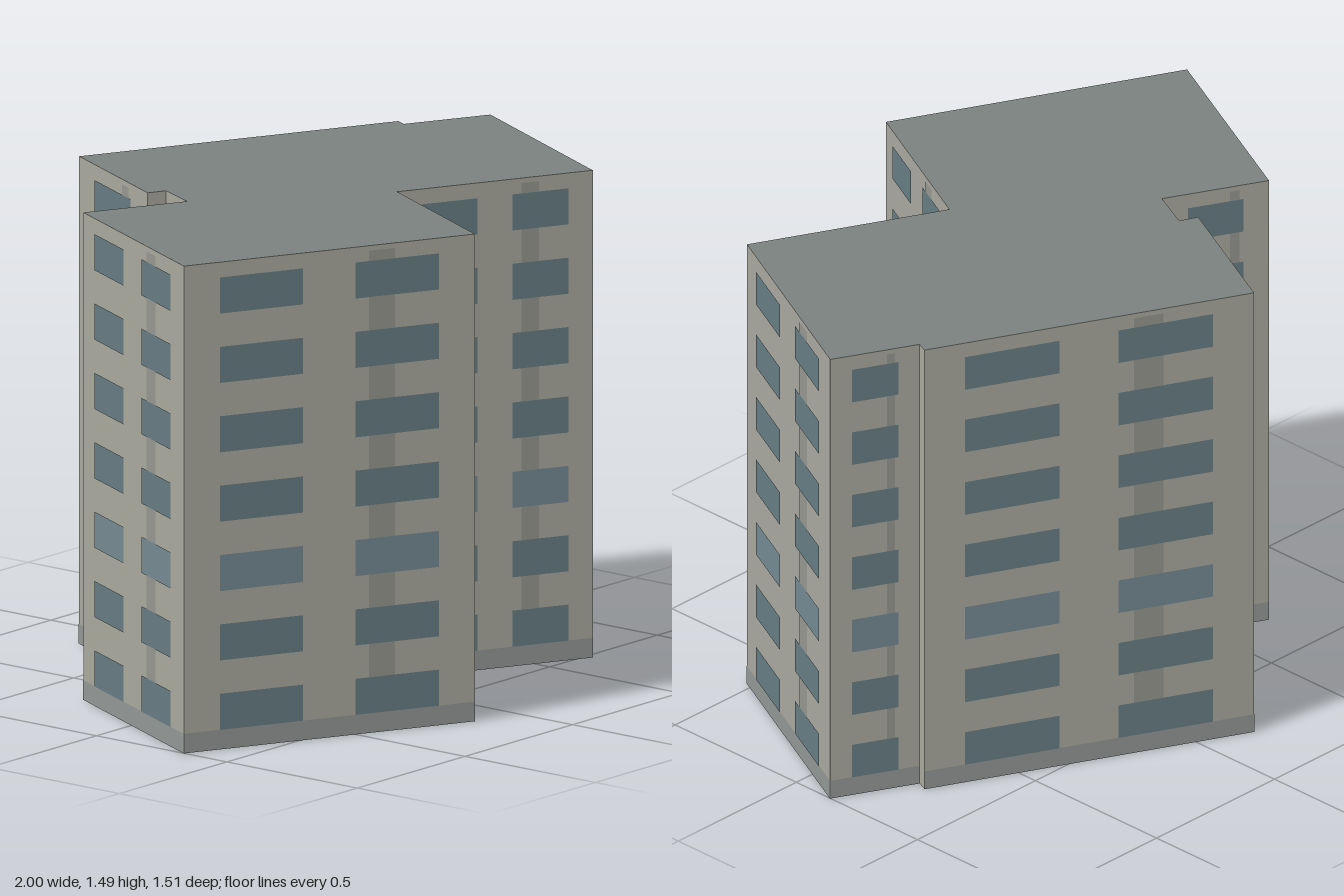
import * as THREE from 'three';

const HEIGHT = 1.485, FLOORS = 7, PITCH = 0.2115;

// Footprint corners (x, z); each wall runs to the next corner, seen left to right from outside.
// The third value is the number of window columns on that wall.
const FOOTPRINT = [
  [-1, 0.335, 2], [-0.15, 0.75, 2], [0.1, 0.245, 2], [0.67, 0.525, 2],
  [1, -0.14, 1], [0.75, -0.265, 0], [0.765, -0.3, 2], [-0.165, -0.755, 1],
  [-0.38, -0.315, 0], [-0.325, -0.29, 1], [-0.385, -0.16, 1], [-0.685, -0.31, 2],
];

// Window spans as fractions of the wall length
const COLUMNS = { 0: [], 1: [[0.24, 0.76]], 2: [[0.122, 0.408], [0.588, 0.874]] };

const paint = (color, side = THREE.FrontSide) =>
  new THREE.MeshStandardMaterial({ color, side });

export function createModel() {
  const model = new THREE.Group();
  model.name = 'apartmentBlock';

  const wallPaint = paint(0xa8a89e, THREE.DoubleSide);
  const roofPaint = paint(0x7a817e, THREE.DoubleSide);
  const plinthPaint = paint(0x929694);
  const stripPaint = paint(0x95968f);
  const glass = paint(0x667c83);
  const paleGlass = paint(0x748991);

  // Flat roof over the whole footprint; the underside stays open
  const outline = new THREE.Shape(FOOTPRINT.map(([x, z]) => new THREE.Vector2(x, -z)));
  const roof = new THREE.Mesh(new THREE.ShapeGeometry(outline).rotateX(-Math.PI / 2), roofPaint);
  roof.position.y = HEIGHT;
  roof.name = 'roof';
  model.add(roof);

  FOOTPRINT.forEach(([x, z, columns], i) => {
    const [nx, nz] = FOOTPRINT[(i + 1) % FOOTPRINT.length];
    const length = Math.hypot(nx - x, nz - z);

    // Wall group: local x runs along the wall, local z points outwards
    const wall = new THREE.Group();
    wall.name = 'wall' + (i + 1);
    wall.position.set(x, 0, z);
    wall.rotation.y = Math.atan2(z - nz, nx - x);
    model.add(wall);

    const panel = (name, material, from, to, bottom, top, offset) => {
      const mesh = new THREE.Mesh(
        new THREE.PlaneGeometry((to - from) * length, top - bottom), material);
      mesh.position.set((from + to) / 2 * length, (bottom + top) / 2, offset);
      mesh.name = name;
      wall.add(mesh);
    };

    panel('facade', wallPaint, 0, 1, 0, HEIGHT, 0);
    if (!columns) return;

    panel('plinth', plinthPaint, 0, 1, 0, 0.06, 0.0015);
    panel('verticalStrip', stripPaint, 0.635, 0.724, 0.06, 1.47, 0.0015);

    // Window grid
    for (let floor = 0; floor < FLOORS; floor++) {
      const sill = 0.06 + floor * PITCH;
      for (const [from, to] of COLUMNS[columns]) {
        panel('window', floor === 2 ? paleGlass : glass, from, to, sill, sill + 0.11, 0.003);
      }
    }
  });

  return model;
}
